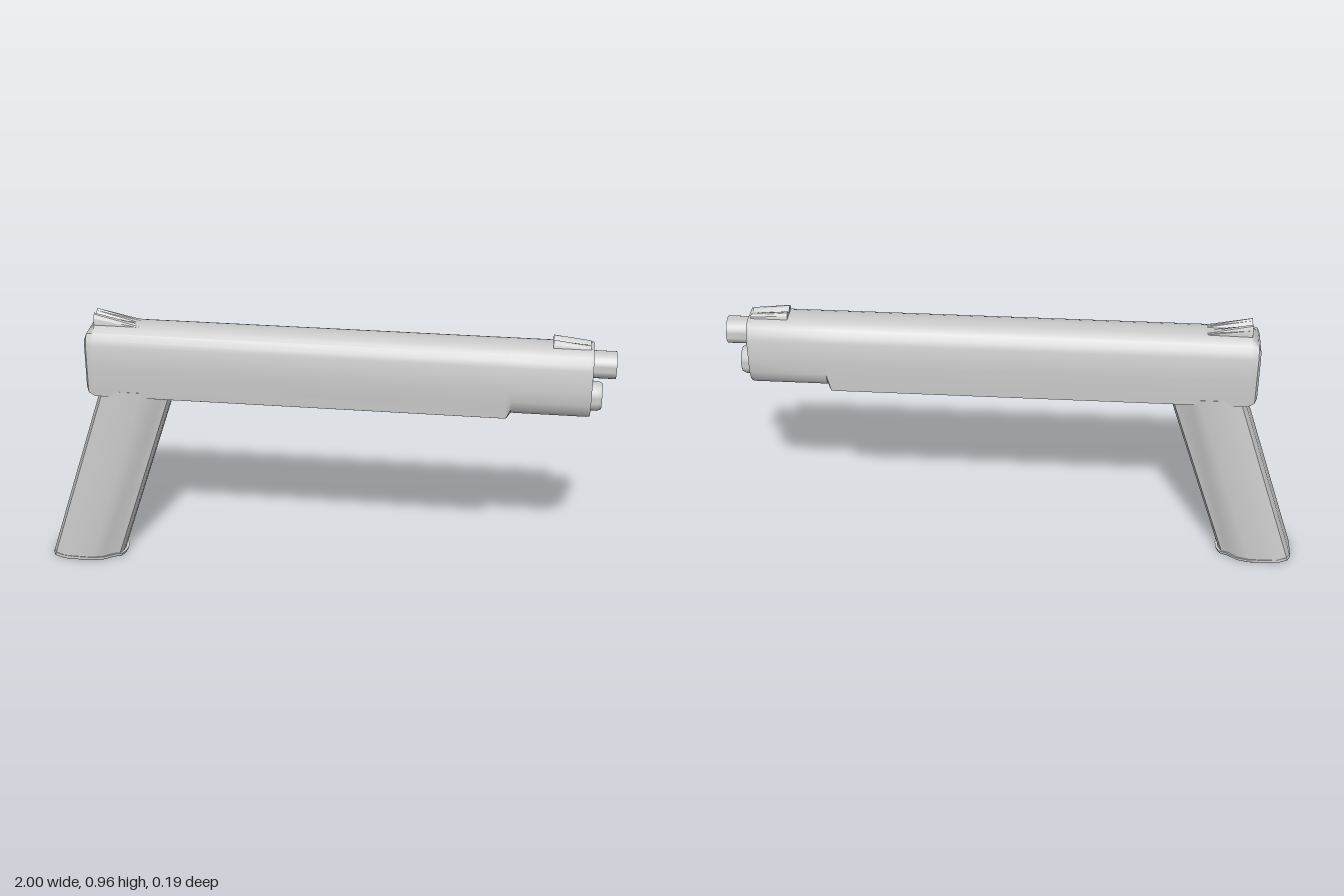
import * as THREE from 'three';
import { toCreasedNormals } from 'three/addons/utils/BufferGeometryUtils.js';

const material = new THREE.MeshStandardMaterial({ color: 0xcccccc });

// Closed ring from a half outline of [position, halfWidth] pairs, mirrored across z = 0
function mirrorRing(half, place, sign) {
  const back = half.filter(p => p[1] > 0).reverse();
  return [...half.map(([u, w]) => place(u, sign * w)), ...back.map(([u, w]) => place(u, -sign * w))];
}

// Skin through the rings, with a fan cap at both ends
function loft(rings, crease = 0.6) {
  const n = rings[0].length;
  const pos = rings.flat(2);
  const index = [];
  for (let s = 0; s < rings.length - 1; s++) {
    for (let i = 0; i < n; i++) {
      const j = (i + 1) % n;
      const a = s * n + i, b = s * n + j, c = b + n, d = a + n;
      index.push(a, b, c, a, c, d);
    }
  }
  for (const s of [0, rings.length - 1]) {
    const centre = [0, 1, 2].map(k => rings[s].reduce((sum, p) => sum + p[k], 0) / n);
    const c = pos.length / 3;
    pos.push(...centre);
    for (let i = 0; i < n; i++) {
      const a = s * n + i, b = s * n + (i + 1) % n;
      if (s === 0) index.push(c, b, a);
      else index.push(c, a, b);
    }
  }
  const g = new THREE.BufferGeometry();
  g.setAttribute('position', new THREE.Float32BufferAttribute(pos, 3));
  g.setIndex(index);
  return toCreasedNormals(g, crease);
}

function add(group, name, geometry) {
  const mesh = new THREE.Mesh(geometry, material);
  mesh.name = name;
  group.add(mesh);
  return mesh;
}

const alongX = (half, x) => mirrorRing(half, (y, z) => [x, y, z], -1);

// Hollow tube with a closed floor, pointing along +x from the origin
function muzzle(profile) {
  const g = new THREE.LatheGeometry(profile.map(([r, x]) => new THREE.Vector2(r, x)), 32);
  g.rotateZ(-Math.PI / 2);
  return toCreasedNormals(g, 0.6);
}

// Twin-peaked sight that slopes down towards the front
function sight(x0, x1, top0, top1) {
  const half = [[-0.8, 0.037], [0, 0.037], [0.6, 0.034], [0.93, 0.027], [1, 0.021], [0.85, 0.014], [0.25, 0]];
  const section = (x, top) =>
    alongX([[0.9, 0], ...half.map(([t, w]) => [0.92 + t * (t < 0 ? 0.02 : top - 0.92), w])], x);
  return loft([section(x0, top0), section(x1, top1)], 0.5);
}

export function createModel() {
  const model = new THREE.Group();
  model.name = 'pistol';

  // Upper outline shared by the whole body; the belly is deeper behind the step
  const upper = [[0.78, 0.09], [0.865, 0.09], [0.885, 0.081], [0.905, 0.068], [0.918, 0.046], [0.924, 0.03], [0.925, 0]];
  const deep = [[0.65, 0], [0.653, 0.03], [0.661, 0.06], [0.675, 0.088], [0.72, 0.09], ...upper];
  const shallow = [[0.67, 0], [0.672, 0.03], [0.684, 0.058], [0.706, 0.078], [0.74, 0.09], ...upper];
  const inset = (half, k, lo, hi) => half.map(([y, w]) => [Math.min(hi, Math.max(lo, y)), w * k]);

  add(model, 'body', loft([
    alongX(inset(deep, 0.78, 0.7, 0.88), -0.82),
    alongX(inset(deep, 0.92, 0.685, 0.9), -0.812),
    alongX(deep, -0.788),
    alongX(deep, 0.64),
    alongX(shallow, 0.655),
    alongX(shallow, 0.91),
    alongX(inset(shallow, 0.94, 0.677, 0.918), 0.922),
  ]));

  // Raked grip: rounded at the back, narrowing to a front strap
  const gripHalf = [[0, 0], [0, 0.045], [0.012, 0.07], [0.05, 0.088], [0.09, 0.09], [0.15, 0.09],
    [0.19, 0.08], [0.225, 0.054], [0.248, 0.046], [0.258, 0.025], [0.26, 0]];
  const gripRing = (y, sx = 1, sz = 1) =>
    mirrorRing(gripHalf, (x, z) => [-1 + x * sx + y * 0.323, y, z * sz], 1);
  add(model, 'grip', loft([gripRing(0.005), gripRing(0.695)], 0.5));
  add(model, 'gripBasePlate', loft([gripRing(0, 1.03, 1), gripRing(0.004, 1.04, 1.03), gripRing(0.013, 1.04, 1.03)], 0.5));

  // Barrel and the shorter guide rod sleeve below it
  add(model, 'barrel', muzzle([[0.047, -0.02], [0.047, 0.08], [0.039, 0.08], [0.039, 0.006], [0, 0.006]]))
    .position.set(0.92, 0.855, 0);
  const rod = add(model, 'guideRod', muzzle([[0.047, -0.02], [0.047, 0.026], [0.041, 0.04], [0.036, 0.04], [0.036, 0.008], [0, 0.008]]));
  rod.position.set(0.92, 0.737, 0);
  rod.scale.y = 1.1;

  add(model, 'rearSight', sight(-0.79, -0.63, 0.962, 0.924));
  add(model, 'frontSight', sight(0.785, 0.912, 0.946, 0.93));

  return model;
}
